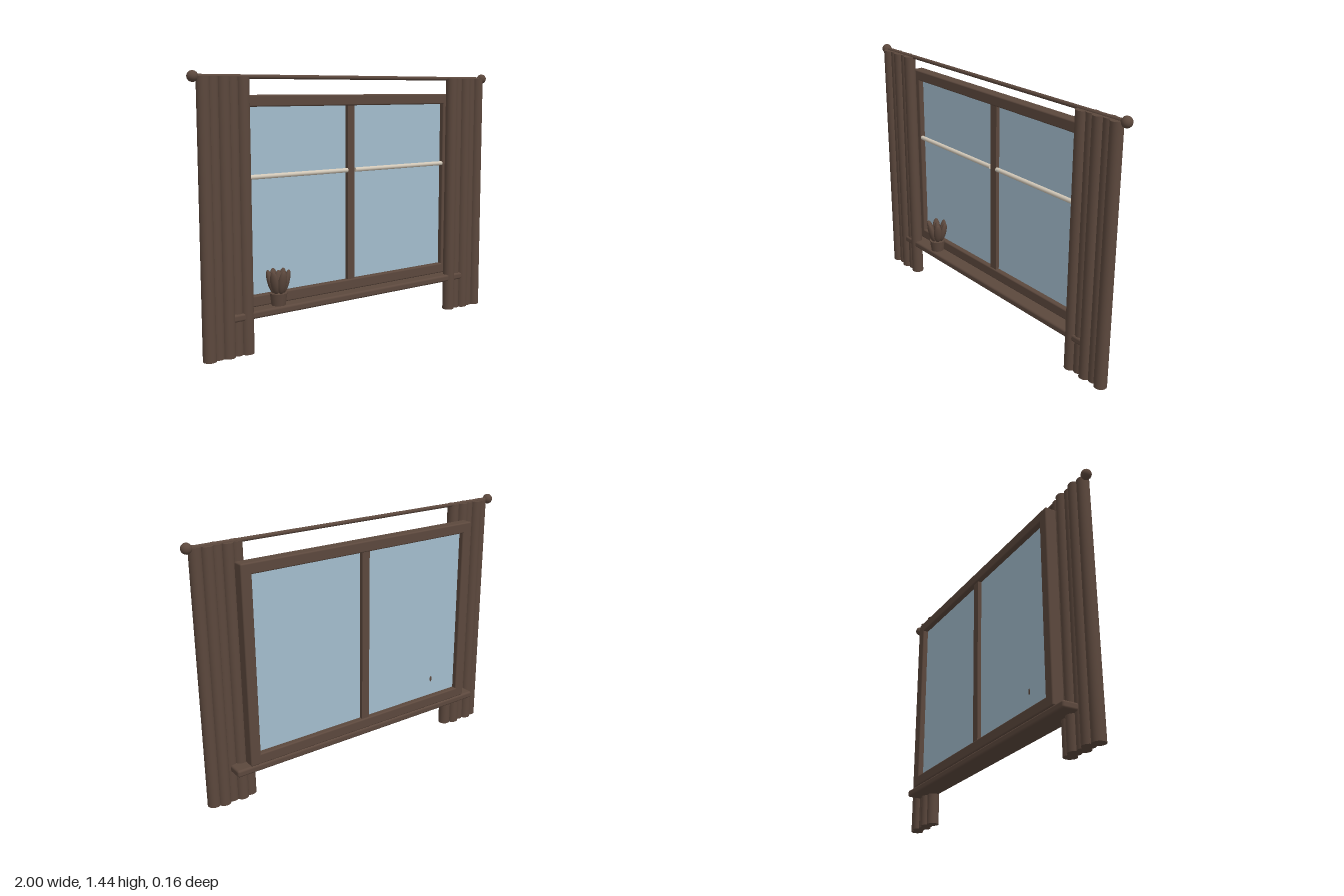
import * as THREE from 'three';
import { RoundedBoxGeometry } from 'three/addons/geometries/RoundedBoxGeometry.js';

export function createModel() {
  const model = new THREE.Group();
  model.name = 'curtainedWindow';

  const mat = (name, color) => {
    const m = new THREE.MeshStandardMaterial({ color });
    m.name = name;
    return m;
  };
  const wood = mat('darkBrown', 0x5c483d);
  const blue = mat('paleBlueGlass', 0xa3bdcd);
  const cream = mat('cream', 0xd2c8b8);

  const add = (name, geometry, material, x, y, z, parent = model) => {
    const mesh = new THREE.Mesh(geometry, material);
    mesh.name = name;
    mesh.position.set(x, y, z);
    parent.add(mesh);
    return mesh;
  };
  const bar = (w, h, d) => new RoundedBoxGeometry(w, h, d, 2, 0.008);

  // Window frame: rails, stiles and centre mullion
  const frameZ = -0.046;
  add('topRail', bar(1.5, 0.06, 0.066), wood, 0, 1.29, frameZ);
  add('bottomRail', bar(1.5, 0.06, 0.066), wood, 0, 0.25, frameZ);
  for (const s of [-1, 1]) add('sideStile', bar(0.06, 1.1, 0.066), wood, s * 0.72, 0.77, frameZ);
  add('mullion', new THREE.BoxGeometry(0.048, 0.98, 0.05), wood, 0, 0.77, -0.045);

  // Glass panes, each with a cream sash bar on the room side
  for (const s of [-1, 1]) {
    add('glassPane', new THREE.BoxGeometry(0.666, 0.98, 0.006), blue, s * 0.357, 0.77, -0.045);
    const sash = add('sashBar', new THREE.CylinderGeometry(0.0125, 0.0125, 0.66, 12), cream, s * 0.357, 0.902, -0.022);
    sash.rotation.z = Math.PI / 2;
  }

  // Sill
  add('sill', new RoundedBoxGeometry(1.66, 0.04, 0.14, 3, 0.012), wood, 0, 0.2, -0.009);

  // Curtain rod with ball finials
  const rod = add('curtainRod', new THREE.CylinderGeometry(0.011, 0.011, 1.94, 16), wood, 0, 1.41, 0.023);
  rod.rotation.z = Math.PI / 2;
  for (const s of [-1, 1]) add('finial', new THREE.SphereGeometry(0.028, 24, 16), wood, s * 0.972, 1.41, 0.023);

  // Curtains: five overlapping round pleats on each side
  const pleat = new THREE.CylinderGeometry(0.033, 0.035, 1.41, 20);
  for (const s of [-1, 1]) {
    const curtain = new THREE.Group();
    curtain.name = s < 0 ? 'rightCurtain' : 'leftCurtain';
    for (let i = 0; i < 5; i++) {
      add('pleat', pleat, wood, s * 0.817 + (i - 2) * 0.054, 0.705, i % 2 ? 0.02 : 0.035, curtain);
    }
    model.add(curtain);
  }

  // Potted succulent standing on the sill
  const plant = new THREE.Group();
  plant.name = 'pottedPlant';
  plant.position.set(-0.507, 0.22, 0.015);
  add('pot', new THREE.CylinderGeometry(0.047, 0.038, 0.065, 20), wood, 0, 0.0325, 0, plant);
  const leaf = new THREE.SphereGeometry(1, 16, 12);
  leaf.scale(0.024, 0.065, 0.018);
  for (let i = 0; i < 6; i++) {
    const ring = new THREE.Group();
    ring.name = 'leafTurn';
    ring.rotation.y = (i * Math.PI) / 3;
    const blade = add('leaf', leaf, wood, 0, 0.125, 0.041, ring);
    blade.rotation.x = 0.25;
    plant.add(ring);
  }
  add('centreLeaf', leaf, wood, 0, 0.122, 0, plant);
  model.add(plant);

  return model;
}
